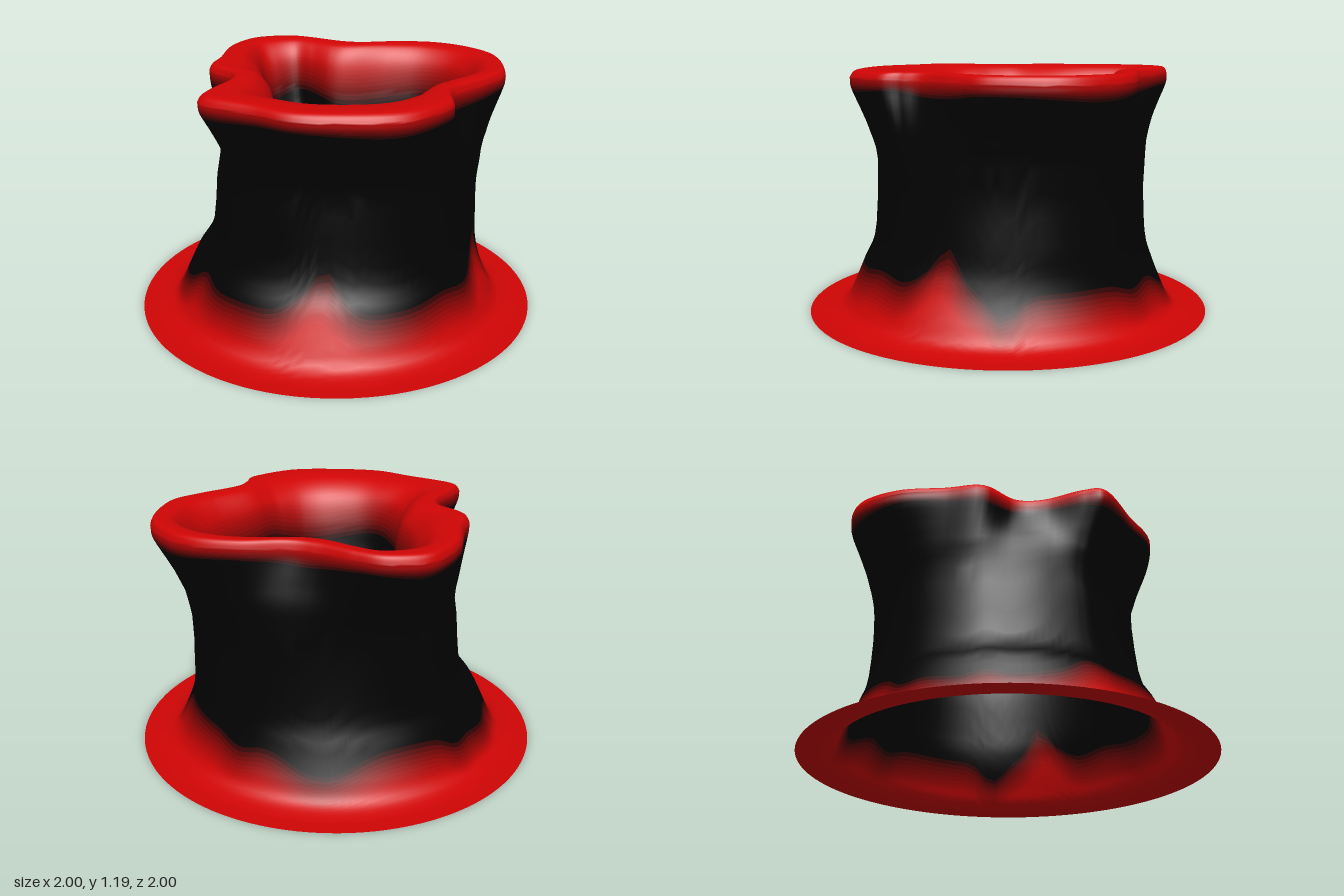
import * as THREE from 'three';

// Closed smooth outline in the x/z plane
const outline = (pts) => new THREE.CatmullRomCurve3(
  pts.map(([x, z]) => new THREE.Vector3(x, 0, z)), true, 'catmullrom', 0.5);

// Outer edge of the wavy lip, and the matching edge of its opening
const lipOuter = outline([
  [0.88, 0.11], [0.74, 0.37], [0.59, 0.45], [0.35, 0.52], [0.26, 0.61], [0.19, 0.71], [-0.05, 0.775],
  [-0.26, 0.71], [-0.5, 0.56], [-0.61, 0.37], [-0.745, 0.14], [-0.69, 0.04], [-0.53, -0.08],
  [-0.46, -0.21], [-0.5, -0.4], [-0.39, -0.55], [-0.27, -0.73], [-0.13, -0.84], [-0.01, -0.87],
  [0.14, -0.82], [0.23, -0.72], [0.33, -0.56], [0.43, -0.47], [0.62, -0.4], [0.78, -0.28], [0.87, -0.11]]);
const lipInner = outline([
  [0.69, 0.08], [0.62, 0.2], [0.49, 0.28], [0.29, 0.34], [0.2, 0.37], [0.12, 0.39], [0, 0.41],
  [-0.12, 0.39], [-0.24, 0.32], [-0.32, 0.24], [-0.36, 0.15], [-0.36, 0.05], [-0.31, -0.04],
  [-0.26, -0.13], [-0.22, -0.25], [-0.19, -0.38], [-0.15, -0.52], [-0.09, -0.63], [0, -0.645],
  [0.09, -0.63], [0.14, -0.55], [0.19, -0.45], [0.27, -0.385], [0.45, -0.3], [0.59, -0.2], [0.68, -0.05]]);
const floorCentre = new THREE.Vector3(0.1, 0, -0.02);

// Profile from flange to floor: height, round radius, and shape
// (shape 0 = circle, 1 = outer lip, 2 = opening, 3 = floor centre)
const keys = [
  [0, 1, 0], [0, 0.92, 0], [0.03, 0.83, 0], [0.12, 0.78, 0], [0.25, 0.725, 0.01], [0.4, 0.67, 0.06],
  [0.75, 0.65, 0.1], [0.9, 0.66, 0.32], [1.0, 0.66, 0.62], [1.1, 0.66, 0.95], [1.15, 0.65, 1],
  [1.185, 0.65, 1.08], [1.19, 0.65, 1.3], [1.17, 0.65, 1.6], [1.1, 0.65, 1.85], [0.98, 0.65, 1.98],
  [0.85, 0.65, 2.03], [0.74, 0.65, 2.08], [0.65, 0.65, 2.2], [0.58, 0.65, 2.5], [0.56, 0.65, 3]];
const END = keys.length - 1;
const profile = new THREE.CatmullRomCurve3(
  keys.map((k) => new THREE.Vector3(...k)), false, 'catmullrom', 0.5);

// Point on the skin: u runs round it, v runs along the profile keys
function skin(u, v) {
  const { x: y, y: r, z } = profile.getPoint(THREE.MathUtils.clamp(v / END, 0, 1));
  const s = THREE.MathUtils.clamp(z, 0, 3);
  const t = ((u % 1) + 1) % 1;
  const p = lipOuter.getPoint(t);
  if (s < 1) {
    const circle = p.clone().normalize().multiplyScalar(r);
    circle.x += 0.7 * Math.min(s, 0.1); // the waist leans to one side
    p.lerp(circle, 1 - s);
  } else {
    p.lerp(lipInner.getPoint(t), Math.min(s - 1, 1));
    if (s > 2) p.lerp(floorCentre, s - 2);
  }
  p.y = THREE.MathUtils.clamp(y, 0, 1.19);
  return p;
}

function skinNormal(u, v) {
  const e = 0.02, w = THREE.MathUtils.clamp(v, e, END - 2 * e);
  const dv = skin(u, w + e).sub(skin(u, w - e));
  const du = skin(u + 0.002, w).sub(skin(u - 0.002, w));
  return dv.cross(du).normalize();
}

// One coloured band of the skin between two borders, each a function of u
function band(name, color, from, to, rows) {
  const N = 130, pos = [], nor = [], idx = [];
  for (let j = 0; j <= rows; j++) {
    for (let i = 0; i <= N; i++) {
      const u = i / N, v = THREE.MathUtils.lerp(from(u), to(u), j / rows);
      pos.push(...skin(u, v).toArray());
      nor.push(...skinNormal(u, v).toArray());
      if (i < N && j < rows) {
        const a = j * (N + 1) + i, b = a + N + 1;
        idx.push(a, b, a + 1, b, b + 1, a + 1);
      }
    }
  }
  const geo = new THREE.BufferGeometry();
  geo.setAttribute('position', new THREE.Float32BufferAttribute(pos, 3));
  geo.setAttribute('normal', new THREE.Float32BufferAttribute(nor, 3));
  geo.setIndex(idx);
  const mesh = new THREE.Mesh(geo, new THREE.MeshStandardMaterial({ color, side: THREE.DoubleSide }));
  mesh.name = name;
  return mesh;
}

// Ragged top of the red foot: tongues and dips at [degrees, width, amount]
const ragged = [[45, 9, 1.2], [125, 10, 1.2], [215, 30, -0.8], [298, 14, -0.8], [22, 6, -0.7],
  [75, 10, 0.2], [180, 8, 0.4], [215, 6, 0.3], [245, 6, -0.3], [330, 8, -0.3]];
function footEdge(u) {
  const p = lipOuter.getPoint(u);
  const deg = THREE.MathUtils.radToDeg(Math.atan2(p.z, p.x));
  return ragged.reduce((v, [at, width, amount]) => {
    const d = ((deg - at + 540) % 360 + 360) % 360 - 180;
    return v + amount * Math.exp(-((d / width) ** 2));
  }, 3.2);
}

export function createModel() {
  const group = new THREE.Group();
  group.name = 'wavyPot';
  const RED = 0xd00505, BLACK = 0x020202, BLUE = 0x0505c4;
  const at = (v) => () => v;
  const wave = (v, amount, n) => (u) => v + amount * Math.sin(u * Math.PI * 2 * n);

  // Each part ends in a border that fades into the next part
  const parts = [
    ['foot', RED, footEdge, 0.7, 10],
    ['outerWall', BLACK, wave(9.6, 0.15, 7), 0.7, 16],
    ['lip', RED, wave(14.8, 0.2, 5), 0.8, 18],
    ['innerWall', BLACK, at(18.1), 0.4, 8],
    ['floor', BLUE, at(END), 0, 6]];
  let start = at(0);
  parts.forEach(([name, color, edge, half, rows], k) => {
    group.add(band(name, color, start, (u) => edge(u) - half, rows));
    if (half === 0) return;
    const steps = 9;
    for (let i = 0; i < steps; i++) {
      const c = new THREE.Color(color).lerp(new THREE.Color(parts[k + 1][1]), (i + 0.5) / steps);
      const border = (n) => (u) => edge(u) + half * (2 * n / steps - 1);
      group.add(band(name + 'Fade' + (i + 1), c, border(i), border(i + 1), 1));
    }
    start = (u) => edge(u) + half;
  });
  return group;
}
